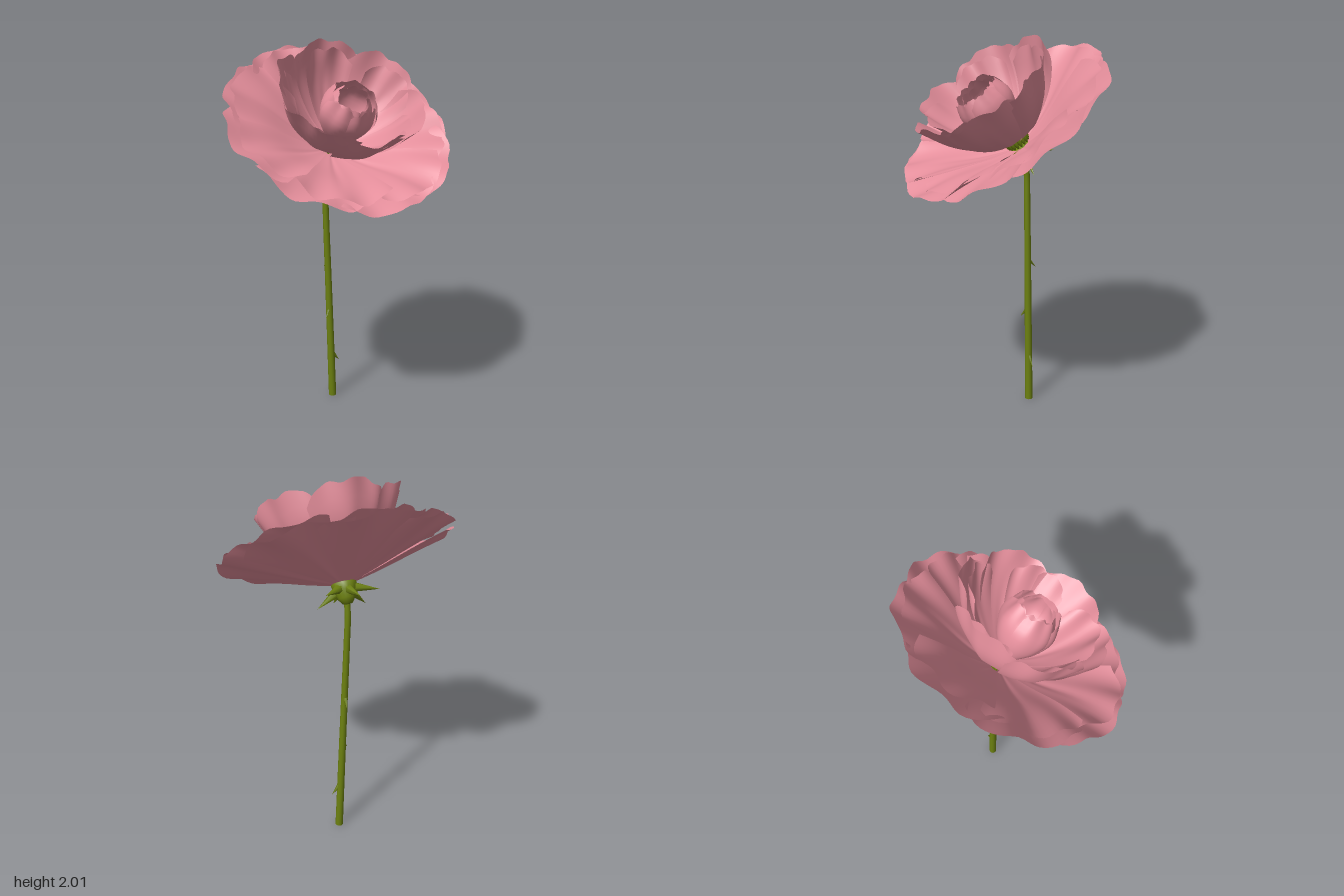
import * as THREE from 'three';

const petalPink = new THREE.MeshStandardMaterial({ color: 0xe48e9b, side: THREE.DoubleSide });
petalPink.name = 'petalPink';
const stemGreen = new THREE.MeshStandardMaterial({ color: 0x6c8010 });
stemGreen.name = 'stemGreen';

function add(parent, name, geometry, material) {
  const mesh = new THREE.Mesh(geometry, material);
  mesh.name = name;
  parent.add(mesh);
  return mesh;
}

// One petal: a (radius, height) profile swept over a wedge, with rounded tip,
// a tilt so that neighbours overlap, a cupped middle and a ruffled rim.
function petalGeometry(curve, angle, half, o, seed) {
  const rows = 14, cols = 24, pos = [], idx = [];
  for (let i = 0; i <= rows; i++) {
    for (let j = 0; j <= cols; j++) {
      const s = i / rows, t = (j / cols) * 2 - 1;
      const rim = 1 - o.round * Math.abs(t) ** 3
        + o.ruffle * (Math.sin(t * 8 + seed * 2.1) + 0.6 * Math.sin(t * 15 + seed * 4.7)) + 0.006 * Math.sin(seed * 3.3);
      const u = Math.min(1, s * rim / 1.03);
      const p = curve.getPoint(u), d = curve.getTangent(u);
      const lift = s * (o.tilt * t + o.cup * (t * t - 0.4))
        + s ** 4 * o.flutter * Math.sin(t * 7 + seed * 1.7)
        - s * (1 - s) * o.crease * Math.exp(-t * t * 40);
      const r = Math.max(0.01, p.x - d.y * lift), h = p.y + d.x * lift;
      const a = angle + t * half;
      pos.push(r * Math.sin(a), h, r * Math.cos(a));
      if (i < rows && j < cols) {
        const k = i * (cols + 1) + j, n = k + cols + 1;
        idx.push(k, k + 1, n, k + 1, n + 1, n);
      }
    }
  }
  const g = new THREE.BufferGeometry();
  g.setAttribute('position', new THREE.Float32BufferAttribute(pos, 3));
  g.setIndex(idx);
  g.computeVertexNormals();
  return g;
}

function petalRing(parent, name, profile, count, turn, half, options) {
  const ring = new THREE.Group();
  ring.name = name;
  const curve = new THREE.CatmullRomCurve3(profile.map(([r, h]) => new THREE.Vector3(r, h, 0)));
  for (let i = 0; i < count; i++) {
    const angle = turn + (i / count) * Math.PI * 2;
    add(ring, name + 'Petal', petalGeometry(curve, angle, half, options, i + turn * 5), petalPink);
  }
  parent.add(ring);
}

export function createModel() {
  const model = new THREE.Group();
  model.name = 'flower';

  // Tapered stem
  const path = new THREE.CatmullRomCurve3([
    [0.033, 0, -0.147], [0.012, 0.6, -0.147], [-0.008, 1.15, -0.147], [-0.012, 1.28, -0.146], [-0.01, 1.37, -0.135],
  ].map((p) => new THREE.Vector3(...p)));
  const stem = new THREE.TubeGeometry(path, 40, 0.021, 12);
  const sp = stem.attributes.position, v = new THREE.Vector3();
  for (let i = 0; i < sp.count; i++) {
    const ring = Math.floor(i / 13) / 40;
    const c = path.getPointAt(ring);
    v.fromBufferAttribute(sp, i).sub(c).multiplyScalar(1 - 0.25 * ring).add(c);
    sp.setXYZ(i, v.x, Math.max(0, v.y), v.z);
  }
  add(model, 'stem', stem, stemGreen);
  const cut = add(model, 'stemEnd', new THREE.CircleGeometry(0.021, 12), stemGreen);
  cut.rotation.x = Math.PI / 2;
  cut.position.set(0.033, 0.001, -0.147);

  // Thorns pointing out and down
  const up = new THREE.Vector3(0, 1, 0);
  for (const [x, y, z, dx, dz] of [[0.045, 0.235, -0.147, 1, 0], [0.001, 0.51, -0.138, -0.8, 0.6], [0.005, 0.795, -0.164, 0.1, -1]]) {
    const thorn = add(model, 'thorn', new THREE.ConeGeometry(0.015, 0.07, 6), stemGreen);
    thorn.position.set(x + dx * 0.008, y, z + dz * 0.008);
    thorn.quaternion.setFromUnitVectors(up, new THREE.Vector3(dx, -1.2, dz).normalize());
    thorn.scale.z = 0.7;
  }

  // Flower head, nodding towards the front
  const head = new THREE.Group();
  head.name = 'flowerHead';
  head.position.set(-0.004, 1.436, -0.112);
  head.rotation.x = 0.6;
  model.add(head);

  // Calyx and its pointed sepals
  const cup = [[0, -0.1], [0.025, -0.097], [0.045, -0.07], [0.058, -0.03], [0.066, 0.005], [0.05, 0.022], [0, 0.024]];
  add(head, 'calyx', new THREE.LatheGeometry(cup.map((p) => new THREE.Vector2(...p)), 16), stemGreen);
  for (let i = 0; i < 6; i++) {
    const a = (i / 6) * Math.PI * 2 + 0.1;
    const sepal = add(head, 'sepal', new THREE.ConeGeometry(0.027, 0.14, 6), stemGreen);
    const dir = new THREE.Vector3(Math.sin(a), -0.3 - 0.25 * (i % 2), Math.cos(a)).normalize();
    sepal.position.set(0, -0.008, 0).addScaledVector(dir, 0.108);
    sepal.quaternion.setFromUnitVectors(up, dir);
  }

  // Ring of stamens
  for (let i = 0; i < 18; i++) {
    const a = (i / 18) * Math.PI * 2;
    const stamen = add(head, 'stamen', new THREE.SphereGeometry(0.011, 8, 6), stemGreen);
    stamen.position.set(0.058 * Math.sin(a), 0.064, 0.058 * Math.cos(a));
    stamen.scale.y = 3;
  }

  // Wide outer petals in two layers
  const wide = { round: 0.1, ruffle: 0.011, tilt: 0.018, cup: 0.015, flutter: 0.016, crease: 0.025 };
  petalRing(head, 'outer', [[0.03, 0], [0.2, 0.055], [0.42, 0.13], [0.622, 0.2]], 8, 0.1, 0.56, wide);
  petalRing(head, 'secondOuter', [[0.03, 0.015], [0.2, 0.078], [0.39, 0.165], [0.585, 0.23]], 7, 0.5, 0.5, wide);

  // Upright cup of middle petals
  const bowl = { round: 0.14, ruffle: 0.013, tilt: 0.02, cup: 0.01, flutter: 0.012, crease: 0.02 };
  petalRing(head, 'middle', [[0.05, 0.065], [0.17, 0.13], [0.295, 0.26], [0.385, 0.445]], 6, 0, 0.62, bowl);
  petalRing(head, 'secondMiddle', [[0.05, 0.075], [0.15, 0.14], [0.26, 0.26], [0.345, 0.42]], 5, 0.6, 0.5, bowl);

  // Pear-shaped bud in the heart, leaning forward, narrow below and closing over the top
  const heart = new THREE.Group();
  heart.name = 'budGroup';
  heart.rotation.x = 0.09;
  head.add(heart);
  const bud = { round: 0.08, ruffle: 0.01, tilt: 0.006, cup: 0, flutter: 0.005, crease: 0 };
  petalRing(heart, 'bud', [[0.012, 0.03], [0.05, 0.11], [0.118, 0.22], [0.143, 0.32], [0.105, 0.43]], 5, 0.3, 0.8, bud);
  petalRing(heart, 'innerBud', [[0.01, 0.04], [0.046, 0.13], [0.105, 0.23], [0.125, 0.32], [0.075, 0.42]], 4, 0.8, 0.95, bud);

  return model;
}
